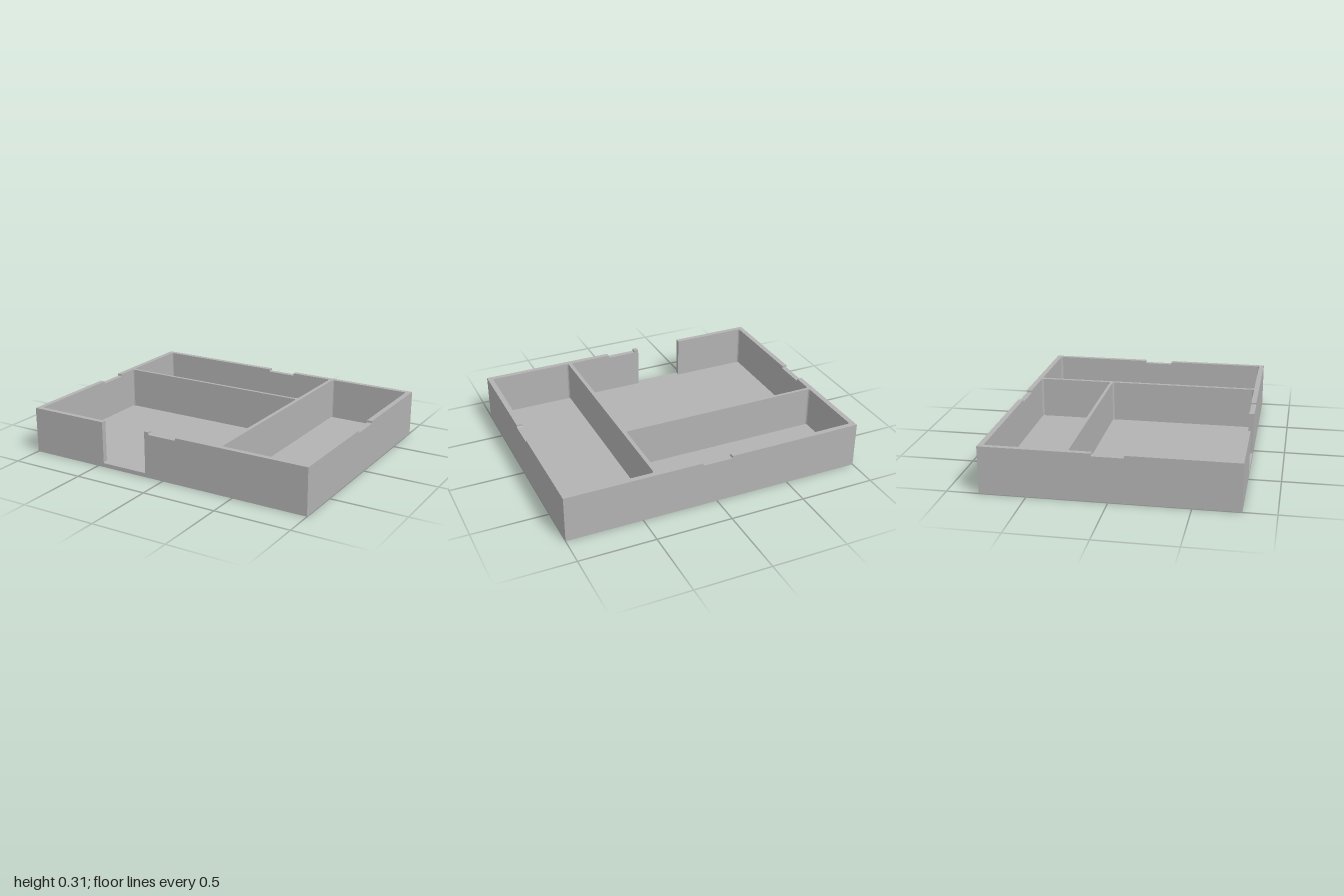
import * as THREE from 'three';

const W = 1, D = 0.795, H = 0.305; // half width, half depth, height
const T = 0.034, F = 0.027;        // wall thickness, floor thickness
const NOTCH = [-0.1, 0.1, H - 0.017];
const DOOR = [-0.455, -0.13, F];

export function createModel() {
  const model = new THREE.Group();
  model.name = 'dividedTray';
  const grey = new THREE.MeshStandardMaterial({ color: 0xb2b2b2 });
  grey.name = 'grey';

  const add = (name, geometry, x = 0, y = 0, z = 0) => {
    const mesh = new THREE.Mesh(geometry, grey);
    mesh.name = name;
    mesh.position.set(x, y, z);
    model.add(mesh);
    return mesh;
  };

  // Upright wall whose top edge is cut by gaps [from, to, bottom], left to right
  const wallGeometry = (half, gaps) => {
    const r = 0.008;
    const s = new THREE.Shape();
    s.moveTo(half, 0);
    s.lineTo(-half, 0);
    s.lineTo(-half, H);
    for (const [a, b, y] of gaps) {
      s.lineTo(a, H);
      s.lineTo(a, y + r);
      s.quadraticCurveTo(a, y, a + r, y);
      s.lineTo(b - r, y);
      s.quadraticCurveTo(b, y, b, y + r);
      s.lineTo(b, H);
    }
    s.lineTo(half, H);
    return new THREE.ExtrudeGeometry(s, { depth: T, bevelEnabled: false, curveSegments: 4 });
  };

  // Floor and outer walls
  add('floor', new THREE.BoxGeometry(2 * (W - T), F, 2 * (D - T)), 0, F / 2, 0);
  add('frontWall', wallGeometry(W, [DOOR, NOTCH]), 0, 0, D - T);
  add('backWall', wallGeometry(W, [NOTCH]), 0, 0, -D);
  add('leftWall', wallGeometry(D - T, [NOTCH]), W - T).rotation.y = Math.PI / 2;
  add('rightWall', wallGeometry(D - T, [NOTCH]), -W).rotation.y = Math.PI / 2;

  // Inner dividers
  const x0 = 0.387, x1 = 0.413, z0 = -0.262, z1 = -0.241;
  const wallH = H - F, midY = (H + F) / 2;
  add('longDivider', new THREE.BoxGeometry(x1 - x0, wallH, 2 * (D - T)), (x0 + x1) / 2, midY, 0);
  add('crossDivider', new THREE.BoxGeometry(x0 + W - T, wallH, z1 - z0),
    (x0 - W + T) / 2, midY, (z0 + z1) / 2);

  // Small rounded fillets in the four corners of each compartment
  const pockets = [
    [T - W, x0, T - D, z0],
    [T - W, x0, z1, D - T],
    [x1, W - T, T - D, D - T],
  ];
  const r = 0.012;
  for (const [xa, xb, za, zb] of pockets) {
    for (const [x, sx] of [[xa, 1], [xb, -1]]) {
      for (const [z, sz] of [[za, 1], [zb, -1]]) {
        const s = new THREE.Shape();
        s.moveTo(0, 0);
        s.lineTo(sx * r, 0);
        s.quadraticCurveTo(sx * r * 0.2, -sz * r * 0.2, 0, -sz * r);
        const g = new THREE.ExtrudeGeometry(s, { depth: wallH, bevelEnabled: false, curveSegments: 4 });
        add('cornerFillet', g.rotateX(-Math.PI / 2), x, F, z);
      }
    }
  }
  return model;
}
